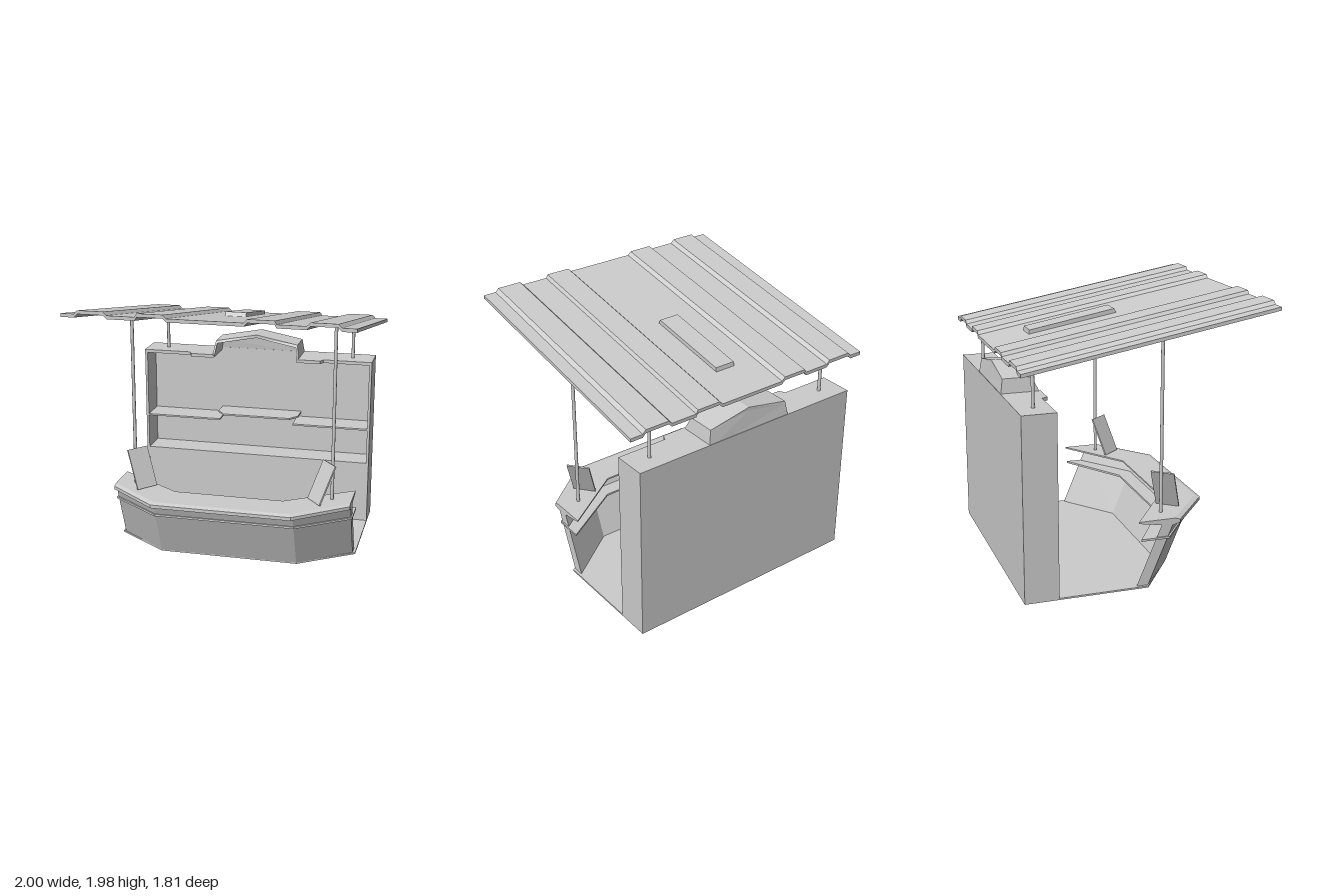
import * as THREE from 'three';

const material = new THREE.MeshStandardMaterial({ color: 0xcccccc });

function add(group, name, geometry) {
  const mesh = new THREE.Mesh(geometry, material);
  mesh.name = name;
  group.add(mesh);
  return mesh;
}

// Box given by its limits
function block(x0, x1, y0, y1, z0, z1) {
  return new THREE.BoxGeometry(x1 - x0, y1 - y0, z1 - z0)
    .translate((x0 + x1) / 2, (y0 + y1) / 2, (z0 + z1) / 2);
}

function extrude(points, depth) {
  const shape = new THREE.Shape(points.map(([x, y]) => new THREE.Vector2(x, y)));
  return new THREE.ExtrudeGeometry(shape, { depth, bevelEnabled: false });
}

// Horizontal slab from a plan outline of (x, z) points
function slab(plan, y0, y1) {
  return extrude(plan.map(([x, z]) => [x, -z]), y1 - y0).rotateX(-Math.PI / 2).translate(0, y0, 0);
}

// Prism across x from a side outline of (z, y) points
function sidePrism(points, width) {
  return extrude(points.map(([z, y]) => [-z, y]), width).translate(0, 0, -width / 2).rotateY(Math.PI / 2);
}

// Adds the x-mirrored points in reverse order
const mirrored = (half) => [...half, ...half.slice().reverse().map(([x, v]) => [-x, v])];

// Moves vertices by a rule and rebuilds flat normals
function warp(geometry, rule) {
  const p = geometry.attributes.position;
  const v = new THREE.Vector3();
  for (let i = 0; i < p.count; i++) {
    rule(v.fromBufferAttribute(p, i));
    p.setXYZ(i, v.x, v.y, v.z);
  }
  geometry.computeVertexNormals();
  return geometry;
}

// Counter top: one bevelled profile swept over four stations
function counterTopGeometry() {
  const stations = [ // x front, z front, x back, z back
    [-0.9, 0.24, -0.9, -0.065], [-0.52, 0.545, -0.41, 0.27],
    [0.52, 0.545, 0.41, 0.27], [0.9, 0.24, 0.9, -0.065],
  ];
  const profile = [[0, 0.45], [0, 0.475], [0.12, 0.487], [1, 0.487], [1, 0.475], [0.22, 0.435]];
  const n = profile.length;
  const positions = [], index = [];
  for (const [xf, zf, xb, zb] of stations) {
    for (const [t, y] of profile) positions.push(xf + (xb - xf) * t, y, zf + (zb - zf) * t);
  }
  for (let i = 0; i < 3; i++) {
    for (let j = 0; j < n; j++) {
      const a = i * n + j, b = i * n + (j + 1) % n;
      index.push(a, a + n, b + n, a, b + n, b);
    }
  }
  for (let j = 1; j < n - 1; j++) {
    index.push(0, j, j + 1, 3 * n, 3 * n + j + 1, 3 * n + j);
  }
  const indexed = new THREE.BufferGeometry();
  indexed.setAttribute('position', new THREE.Float32BufferAttribute(positions, 3));
  indexed.setIndex(index);
  const geometry = indexed.toNonIndexed();
  geometry.computeVertexNormals();
  return geometry;
}

function buildCounter() {
  const counter = new THREE.Group();
  counter.name = 'counter';
  // Forward-leaning wall with angled wings
  const wall = slab([...mirrored([[0.9, 0], [0.52, 0.28]]),
    ...mirrored([[-0.9, -0.085], [-0.5, 0.21]])], 0.01, 0.45);
  add(counter, 'counterWall', warp(wall, (v) => { v.z += 0.42 * v.y; }));
  // Ledge running around the wall, also an inner shelf
  add(counter, 'counterLedge', slab([...mirrored([[0.91, 0.16], [0.525, 0.44]]),
    ...mirrored([[-0.91, -0.05], [-0.43, 0.25]])], 0.345, 0.36));
  add(counter, 'counterTop', counterTopGeometry());
  // Leaning boards at both ends
  for (const s of [-1, 1]) {
    const across = new THREE.Vector3(-0.11 * s, 0, -0.135).normalize();
    const up = new THREE.Vector3(0.1 * s, 0.285, -0.081).normalize();
    const normal = new THREE.Vector3().crossVectors(across, up);
    const frame = new THREE.Matrix4().makeBasis(across, up, normal).setPosition(0.685 * s, 0.631, 0.207);
    add(counter, s > 0 ? 'leftBoard' : 'rightBoard',
      new THREE.BoxGeometry(0.172, 0.308, 0.012).applyMatrix4(frame));
  }
  return counter;
}

function buildCabinet() {
  const cabinet = new THREE.Group();
  cabinet.name = 'cabinet';
  add(cabinet, 'backWall', block(-0.92, 0.92, 0, 1.33, -0.89, -0.87));
  add(cabinet, 'lowerCabinet', block(-0.9, 0.9, 0.01, 0.5, -0.87, -0.65));
  add(cabinet, 'middleShelf', slab(mirrored([[0.33, -0.87], [0.33, -0.73], [0.27, -0.65]]), 0.815, 0.828));
  for (const s of [-1, 1]) {
    const side = s > 0 ? 'left' : 'right';
    const span = (a, b) => (s > 0 ? [a, b] : [-b, -a]);
    add(cabinet, side + 'Wall', block(...span(0.9, 0.92), 0, 1.33, -0.89, -0.645));
    add(cabinet, side + 'Shelf', block(...span(0.3, 0.9), 0.772, 0.785, -0.87, -0.65));
    add(cabinet, side + 'TopPanel', block(...span(0.34, 0.92), 1.305, 1.33, -0.89, -0.645));
    const lip = [[0.34, -0.645], [0.34, -0.6], [0.52, -0.6], [0.54, -0.645]];
    add(cabinet, side + 'TopLip', slab(lip.map(([x, z]) => [x * s, z]), 1.305, 1.33));
  }
  // Hollow gabled crown with tapering front and back
  const taper = (v) => {
    const k = THREE.MathUtils.clamp((v.y - 1.33) / 0.1, 0, 1);
    v.z += k * (v.z > -0.7 ? -0.06 : 0.02);
  };
  const outer = [[0.35, 1.305], [0.33, 1.432], [0, 1.495], [-0.33, 1.432], [-0.35, 1.305]];
  const inner = [[-0.335, 1.305], [-0.318, 1.412], [0, 1.472], [0.318, 1.412], [0.335, 1.305]];
  add(cabinet, 'crown', warp(extrude([...outer, ...inner], 0.29).translate(0, 0, -0.89), taper));
  add(cabinet, 'crownBack', warp(extrude(inner, 0.015).translate(0, 0, -0.89), taper));
  return cabinet;
}

function buildRoof() {
  const roof = new THREE.Group();
  roof.name = 'roof';
  // Corrugated sheet, tilted down to the back
  const rightHalf = [[0.26, 0], [0.285, 0.025], [0.465, 0.025], [0.48, 0],
    [0.675, 0], [0.7, 0.025], [0.88, 0.025], [0.905, 0], [1, 0]];
  const top = [...rightHalf.slice().reverse().map(([x, y]) => [-x, y]), ...rightHalf];
  const bottom = top.slice().reverse().map(([x, y]) => [x, y - 0.025]);
  const sheet = extrude([...bottom, ...top], 1.81).translate(0, 0, -0.905);
  add(roof, 'roofSheet', warp(sheet, (v) => { v.y += 1.95 - 0.1796 * (0.905 - v.z); }));
  // Long shallow boxes above and below the sheet
  add(roof, 'roofVent', sidePrism([[0.05, 1.785], [0.03, 1.825], [-0.605, 1.708], [-0.612, 1.67]], 0.155));
  add(roof, 'roofLamp', sidePrism([[0.212, 1.805], [0.205, 1.762], [-0.445, 1.642], [-0.468, 1.69]], 0.155));
  return roof;
}

export function createModel() {
  const model = new THREE.Group();
  model.name = 'marketStall';
  add(model, 'floor', slab(mirrored([[0.92, -0.89], [0.92, 0], [0.52, 0.28]]), 0, 0.012));
  model.add(buildCounter(), buildCabinet(), buildRoof());
  // Roof posts
  for (const [name, z, y0, y1] of [['frontPost', 0.15, 0.48, 1.812], ['backPost', -0.765, 1.325, 1.648]]) {
    for (const s of [-1, 1]) {
      add(model, name, new THREE.CylinderGeometry(0.0125, 0.0125, y1 - y0, 10))
        .position.set(0.755 * s, (y0 + y1) / 2, z);
    }
  }
  return model;
}
